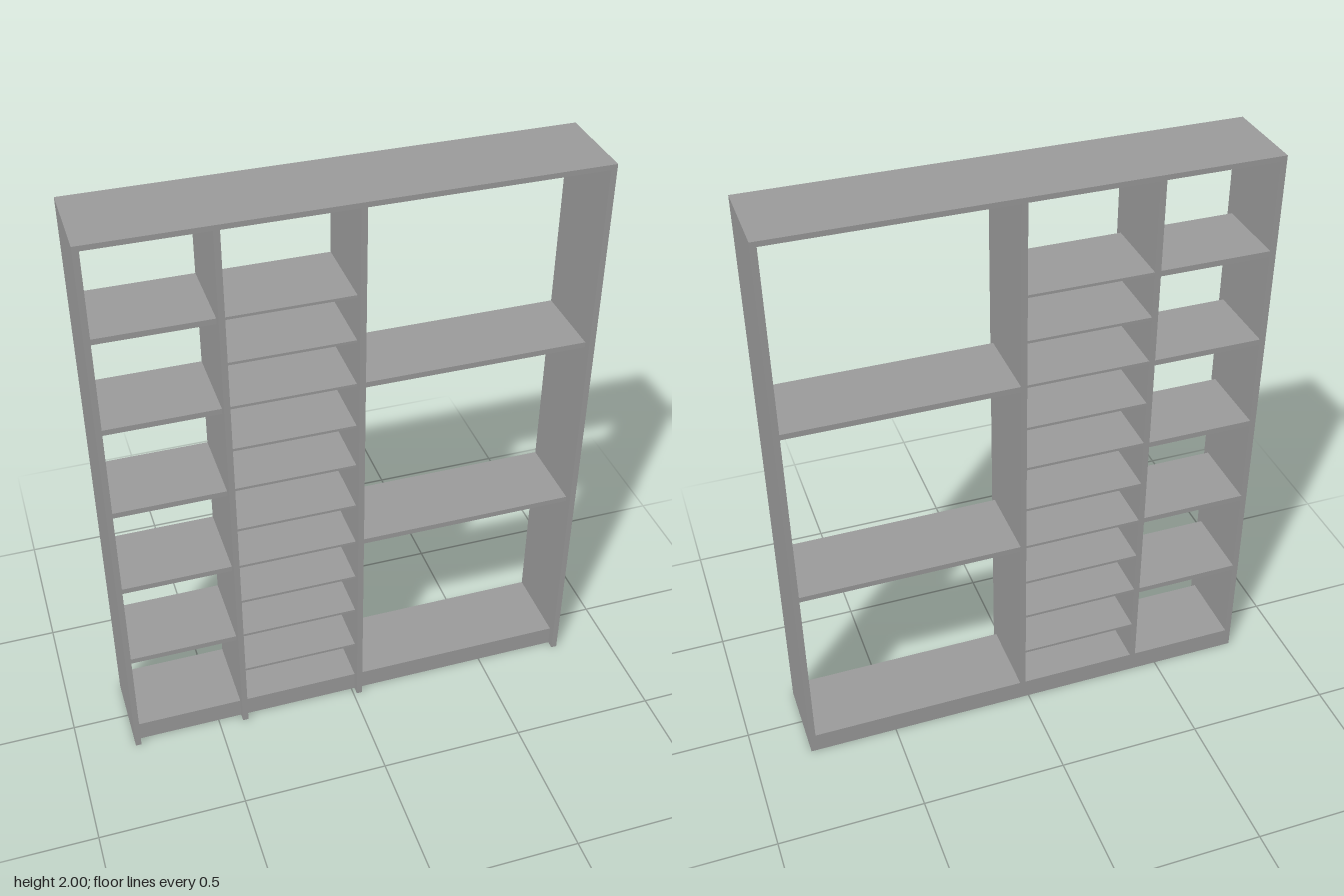
import * as THREE from 'three';

export function createModel() {
  const group = new THREE.Group();
  const material = new THREE.MeshStandardMaterial({ color: 0x9b9b9b, flatShading: true });
  const T = 0.02;         // board thickness
  const HALF_D = 0.148;   // half depth
  const HALF_W = 0.806;   // half width
  const FRONT = HALF_D - 0.028; // shelves and plinth are set back from the uprights
  const TOP = 2 - 0.017;
  const BASE_TOP = 0.073;

  // Board given by its extents
  function board(name, x0, x1, y0, y1, z1) {
    const mesh = new THREE.Mesh(new THREE.BoxGeometry(x1 - x0, y1 - y0, z1 + HALF_D), material);
    mesh.position.set((x0 + x1) / 2, (y0 + y1) / 2, (z1 - HALF_D) / 2);
    mesh.name = name;
    group.add(mesh);
  }

  // Top board and uprights
  board('topBoard', -HALF_W, HALF_W, TOP, 2, HALF_D);
  const uprights = [-HALF_W + T / 2, -0.407, 0.022, HALF_W - T / 2];
  const names = ['rightSide', 'rightDivider', 'leftDivider', 'leftSide'];
  uprights.forEach((x, i) => board(names[i], x - T / 2, x + T / 2, 0, TOP, HALF_D));

  // Shelves of each bay, by the heights of their centres
  const bays = [
    { name: 'narrowShelf', t: 0.019, ys: [0.386, 0.708, 1.029, 1.351, 1.673] },
    { name: 'thinShelf', t: 0.009, ys: [0.223, 0.392, 0.55, 0.709, 0.868, 1.037, 1.196, 1.357, 1.518, 1.677] },
    { name: 'wideShelf', t: 0.019, ys: [0.706, 1.351] },
  ];
  bays.forEach(({ name, t, ys }, i) => {
    const x0 = uprights[i] + T / 2, x1 = uprights[i + 1] - T / 2;
    ys.forEach((y) => board(name, x0, x1, y - t / 2, y + t / 2, FRONT));
    // Bottom shelf on its plinth
    board('bottomShelf', x0, x1, BASE_TOP - 0.017, BASE_TOP, FRONT);
    board('plinth', x0, x1, 0, BASE_TOP - 0.017, FRONT);
  });

  return group;
}
